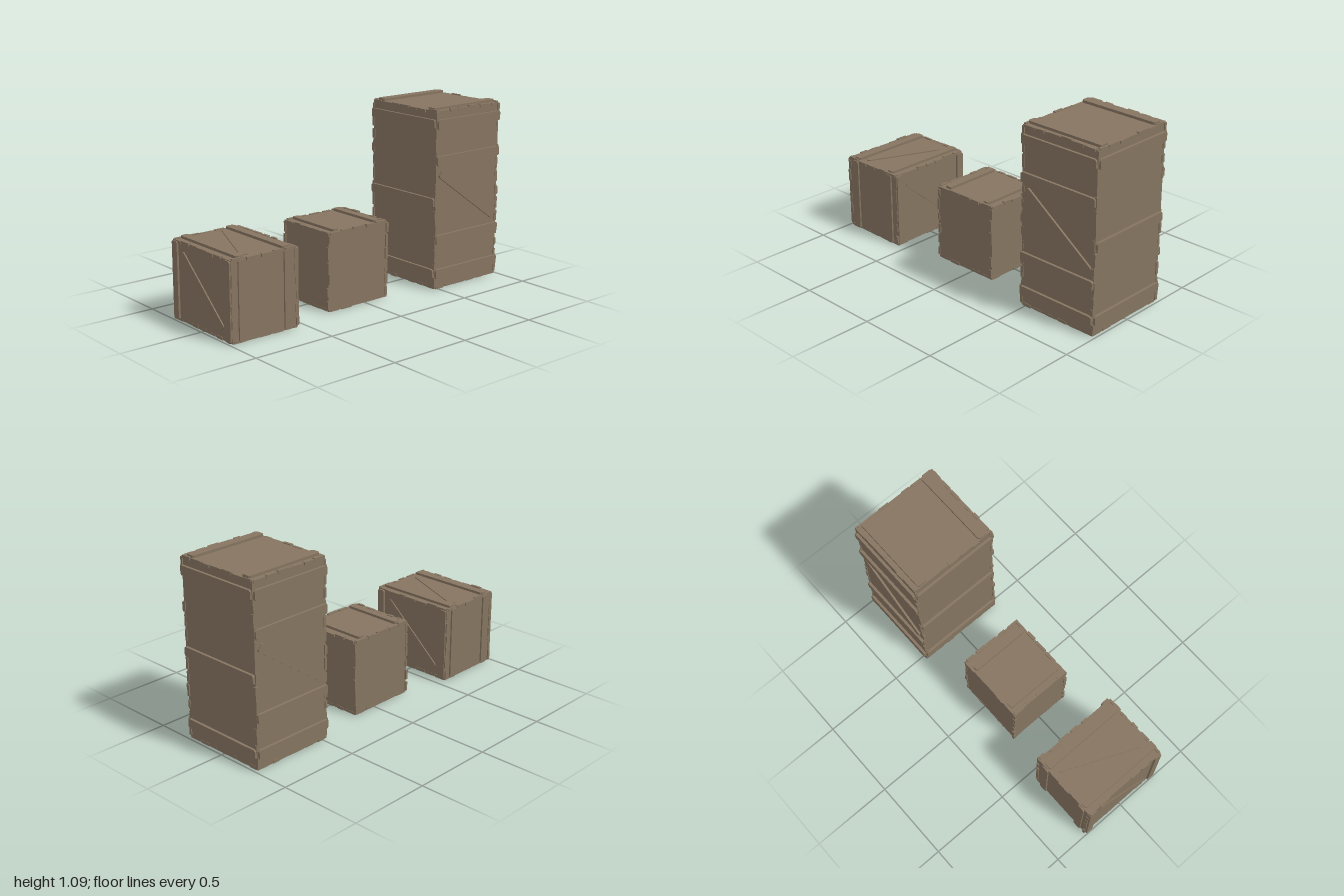
import * as THREE from 'three';

const wood = new THREE.MeshStandardMaterial({ color: 0x857460 });
wood.name = 'weathered wood';

// small seeded generator for the worn edges
let seed = 7;
const rand = () => (seed = (seed * 16807) % 2147483647) / 2147483647;

function add(parent, name, geometry, x = 0, y = 0, z = 0) {
  const mesh = new THREE.Mesh(geometry, wood);
  mesh.name = name;
  mesh.position.set(x, y, z);
  parent.add(mesh);
  return mesh;
}

// plank with clipped corners, lying on a face whose outward direction is local z
function plank(face, name, length, width, thick, x, y, angle = 0) {
  const l = length / 2, w = width / 2, c = 0.008;
  const shape = new THREE.Shape([
    [-l, -w + c], [-l + c, -w], [l - c, -w], [l, -w + c],
    [l, w - c], [l - c, w], [-l + c, w], [-l, w - c],
  ].map(p => new THREE.Vector2(...p)));
  const geo = new THREE.ExtrudeGeometry(shape, { depth: thick, bevelEnabled: false });
  add(face, name, geo, x, y, 0).rotation.z = angle;
}

// crate body with a group on each side for planks
function crate(root, name, x, z, w, h, d) {
  const group = new THREE.Group();
  group.name = name;
  group.position.set(x, 0.008 + h / 2, z);
  root.add(group);
  add(group, 'body', new THREE.BoxGeometry(w, h, d));

  const faces = {};
  const face = (key, px, py, pz, rx, ry) => {
    const f = new THREE.Group();
    f.name = key + 'Face';
    f.position.set(px, py, pz);
    f.rotation.set(rx, ry, 0);
    group.add(f);
    faces[key] = f;
  };
  face('front', 0, 0, d / 2, 0, 0);
  face('back', 0, 0, -d / 2, 0, Math.PI);
  face('left', w / 2, 0, 0, 0, Math.PI / 2);
  face('right', -w / 2, 0, 0, 0, -Math.PI / 2);
  face('top', 0, h / 2, 0, -Math.PI / 2, 0);
  return { group, faces, w, h, d };
}

// short uneven splinters along one edge; axis is 0, 1 or 2
function wornEdge(group, axis, length, corner, spread) {
  const n = Math.round(length / 0.08);
  for (let i = 0; i < n; i++) {
    const size = [0, 0, 0].map(() => 0.014 + rand() * 0.006);
    size[axis] = (length / n) * (0.5 + rand() * 0.45);
    const pos = corner.map(v => v - Math.sign(v) * (0.009 - rand() * spread));
    pos[axis] = -length / 2 + (i + 0.5) * (length / n);
    add(group, 'wornEdge', new THREE.BoxGeometry(...size), ...pos);
  }
}

function wearCrate({ group, w, h, d }, spread) {
  for (const a of [-1, 1]) for (const b of [-1, 1]) {
    wornEdge(group, 1, h, [a * w / 2, 0, b * d / 2], spread);
    wornEdge(group, 0, w, [0, a * h / 2, b * d / 2], a > 0 ? spread : 0.003);
    wornEdge(group, 2, d, [a * w / 2, b * h / 2, 0], b > 0 ? spread : 0.003);
  }
}

export function createModel() {
  const root = new THREE.Group();
  root.name = 'woodenCrates';

  // tall crate: horizontal bands all round, one brace on front and back
  const tall = crate(root, 'tallCrate', 0.726, 0, 0.512, 1.07, 0.55);
  const mid = 0.543;
  for (const key of ['front', 'back']) {
    for (const y of [1.0, 0.785, 0.31, 0.1])
      plank(tall.faces[key], 'band', 0.512, 0.056, 0.016, 0, y - mid);
    plank(tall.faces[key], 'brace', 0.555, 0.052, 0.012, 0, 0.55 - mid, -0.62);
  }
  for (const key of ['left', 'right'])
    for (const y of [1.0, 0.533, 0.1])
      plank(tall.faces[key], 'band', 0.545, 0.056, 0.016, 0, y - mid);
  for (const y of [-0.217, 0.217])
    plank(tall.faces.top, 'lidSlat', 0.5, 0.057, 0.015, 0, y);
  wearCrate(tall, 0.007);

  // braced crate: upright slats, braces on both ends and on the lid
  const braced = crate(root, 'bracedCrate', -0.771, 0, 0.428, 0.457, 0.548);
  for (const s of [-1, 1]) {
    for (const key of ['front', 'back'])
      plank(braced.faces[key], 'uprightSlat', 0.45, 0.05, 0.01, s * 0.15, 0, Math.PI / 2);
    for (const key of ['left', 'right'])
      plank(braced.faces[key], 'endSlat', 0.45, 0.048, 0.012, s * 0.248, 0, Math.PI / 2);
    plank(braced.faces.top, 'lidSlat', 0.53, 0.05, 0.015, s * 0.15, 0, Math.PI / 2);
  }
  for (const key of ['left', 'right'])
    plank(braced.faces[key], 'brace', 0.5, 0.045, 0.008, 0, 0, -0.72);
  plank(braced.faces.top, 'lidBrace', 0.5, 0.045, 0.006, 0, 0, 1.16);
  wearCrate(braced, 0.008);

  // small plain crate: two lid slats only
  const plain = crate(root, 'plainCrate', -0.055, -0.005, 0.435, 0.457, 0.4);
  for (const s of [-1, 1])
    plank(plain.faces.top, 'lidSlat', 0.37, 0.045, 0.015, s * 0.152, 0, Math.PI / 2);
  wearCrate(plain, 0.009);

  return root;
}
